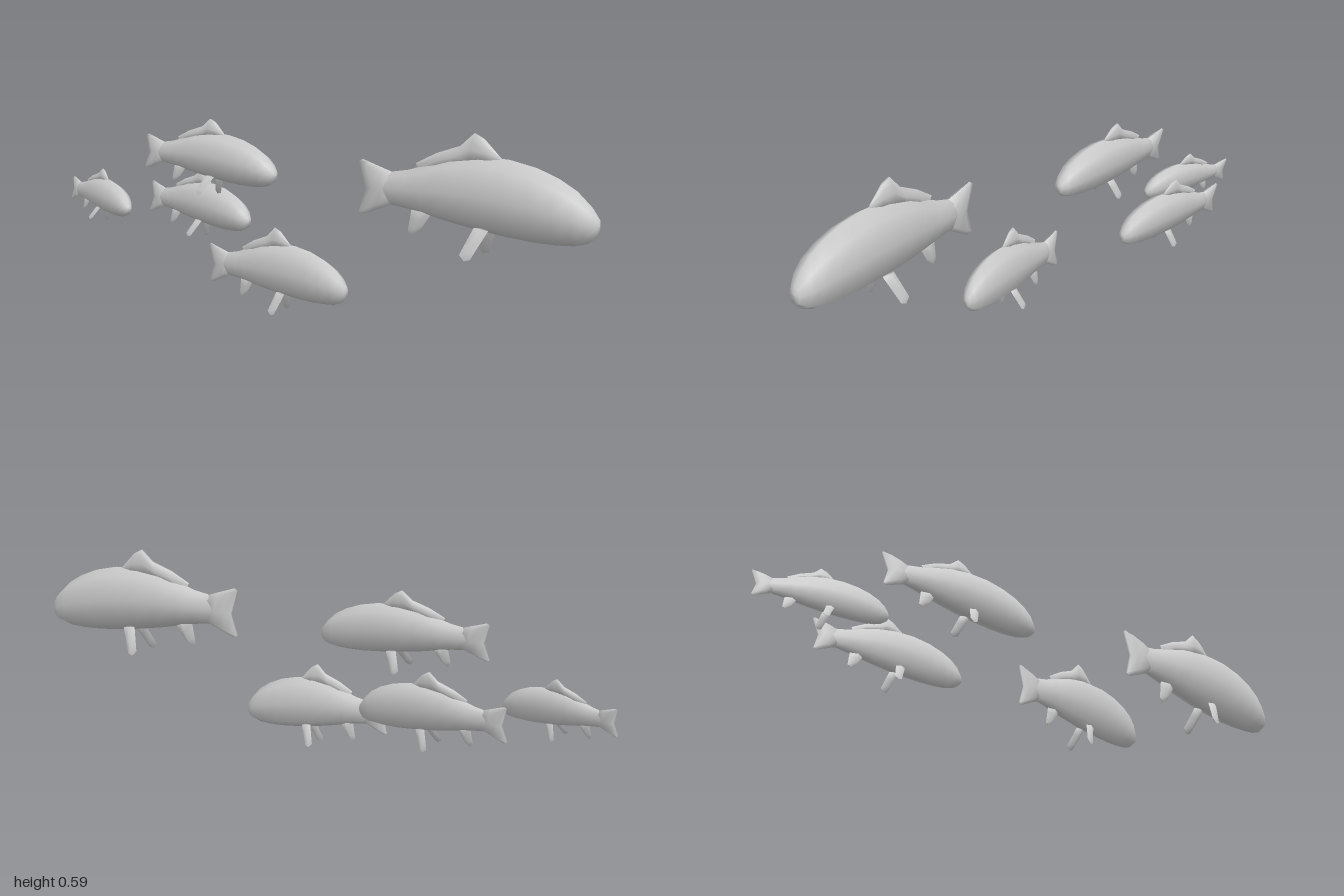
import * as THREE from 'three';
import { mergeVertices } from 'three/addons/utils/BufferGeometryUtils.js';

const scaleGrey = new THREE.MeshStandardMaterial({ color: 0xcccccc });
scaleGrey.name = 'scaleGrey';

// Rows of points -> surface; closed joins the last point of a row to its first
function grid(rows, closed, flip) {
  const n = rows[0].length, idx = [];
  for (let i = 0; i < rows.length - 1; i++) {
    for (let j = 0; j < (closed ? n : n - 1); j++) {
      const k = (j + 1) % n;
      const a = i * n + j, b = a + n, c = i * n + k, d = c + n;
      if (flip) idx.push(a, c, b, b, c, d);
      else idx.push(a, b, c, b, d, c);
    }
  }
  const g = new THREE.BufferGeometry();
  g.setAttribute('position', new THREE.Float32BufferAttribute(rows.flat(2), 3));
  g.setIndex(idx);
  const merged = mergeVertices(g, 1e-5);
  merged.computeVertexNormals();
  return merged;
}

// Body: eight-sided sections [distance from nose, top, bottom, half width]
const SECTIONS = [
  [0, -0.03, -0.035, 0.002], [0.006, 0.0, -0.068, 0.024], [0.04, 0.045, -0.096, 0.046],
  [0.09, 0.09, -0.112, 0.06], [0.16, 0.128, -0.118, 0.071], [0.25, 0.16, -0.119, 0.078],
  [0.36, 0.18, -0.112, 0.08], [0.48, 0.181, -0.1, 0.077], [0.6, 0.162, -0.083, 0.067],
  [0.7, 0.129, -0.065, 0.054], [0.78, 0.101, -0.052, 0.042], [0.85, 0.087, -0.045, 0.031],
  [0.91, 0.07, -0.03, 0.018], [0.94, 0.022, 0.018, 0.002],
];
function bodyGeometry() {
  const rows = SECTIONS.map(([t, top, bot, w]) => {
    const row = [];
    for (let k = 0; k < 8; k++) {
      const a = (k * Math.PI) / 4, bulge = k % 2 ? 1.06 : 1;
      row.push([Math.sin(a) * w * bulge, (top + bot) / 2 + Math.cos(a) * bulge * (top - bot) / 2, -t]);
    }
    return row;
  });
  return grid(rows, true, true);
}

// Fin: lens-shaped blade lofted from base points to tip points, each [t, y];
// x0 and x1 are the sideways offsets of its base and tip
function finGeometry(base, tip, thick, x0 = 0, x1 = 0) {
  const steps = [[0, 0.9], [0.4, 1], [0.75, 0.8], [1, 0.25]];
  const rows = base.map((b, i) => {
    const th = (i === 0 || i === base.length - 1) ? 0.001 : thick;
    const side = (s) => steps.map(([v, f]) => [
      x0 + (x1 - x0) * v + s * th * f,
      b[1] + (tip[i][1] - b[1]) * v,
      -(b[0] + (tip[i][0] - b[0]) * v),
    ]);
    return [...side(1), ...side(-1).reverse()];
  });
  // Orient faces outward whichever way the blade points
  const m = base.length >> 1, e = base.length - 1;
  const along = [base[e][0] - base[0][0], base[e][1] - base[0][1]];
  const out = [tip[m][0] - base[m][0], tip[m][1] - base[m][1]];
  return grid(rows, true, along[0] * out[1] - along[1] * out[0] < 0);
}

function parts() {
  const pelvic = (s) => finGeometry(
    [[0.415, -0.09], [0.445, -0.085], [0.475, -0.085]],
    [[0.465, -0.2], [0.488, -0.207], [0.51, -0.186]], 0.015, s * 0.038, s * 0.08);
  return {
    body: bodyGeometry(),
    dorsalFin: finGeometry(
      [[0.37, 0.165], [0.45, 0.165], [0.52, 0.16], [0.59, 0.145], [0.66, 0.125], [0.73, 0.095]],
      [[0.4, 0.188], [0.465, 0.248], [0.505, 0.267], [0.56, 0.215], [0.66, 0.178], [0.75, 0.13]], 0.018),
    tailFin: finGeometry(
      [[0.85, 0.085], [0.84, 0.06], [0.84, 0.02], [0.84, -0.02], [0.85, -0.043]],
      [[0.985, 0.124], [1.0, 0.115], [0.966, 0.008], [0.995, -0.088], [0.975, -0.098]], 0.025),
    leftPelvicFin: pelvic(1),
    rightPelvicFin: pelvic(-1),
    analFin: finGeometry(
      [[0.67, -0.055], [0.71, -0.05], [0.76, -0.045]],
      [[0.72, -0.13], [0.755, -0.155], [0.775, -0.14]], 0.014),
  };
}

// Each fish: nose [x, y, z], tail [x, z], width and height scale, roll
const SCHOOL = [
  { nose: [0.03, 0.4, 1.0], tail: [-0.045, 0.28], w: 0.77, h: 0.725, roll: -0.03 },
  { nose: [-0.086, 0.115, 0.27], tail: [-0.139, -0.22], w: 0.52, h: 0.55, roll: 0.015 },
  { nose: [-0.004, 0.408, -0.065], tail: [-0.015, -0.615], w: 0.61, h: 0.507, roll: -0.12 },
  { nose: [0.096, 0.218, -0.26], tail: [0.128, -0.74], w: 0.52, h: 0.476, roll: -0.14 },
  { nose: [-0.083, 0.235, -0.63], tail: [-0.002, -1.0], w: 0.42, h: 0.37, roll: -0.16 },
];

export function createModel() {
  const school = new THREE.Group();
  school.name = 'schoolOfFish';
  const geometries = parts();
  SCHOOL.forEach(({ nose, tail, w, h, roll }, i) => {
    const fish = new THREE.Group();
    fish.name = `fish${i + 1}`;
    for (const [name, geometry] of Object.entries(geometries)) {
      const mesh = new THREE.Mesh(geometry, scaleGrey);
      mesh.name = name;
      fish.add(mesh);
    }
    const dx = nose[0] - tail[0], dz = nose[2] - tail[1];
    fish.position.set(...nose);
    fish.rotation.set(0, Math.atan2(dx, dz), roll);
    fish.scale.set(w, h, Math.hypot(dx, dz));
    school.add(fish);
  });
  return school;
}
